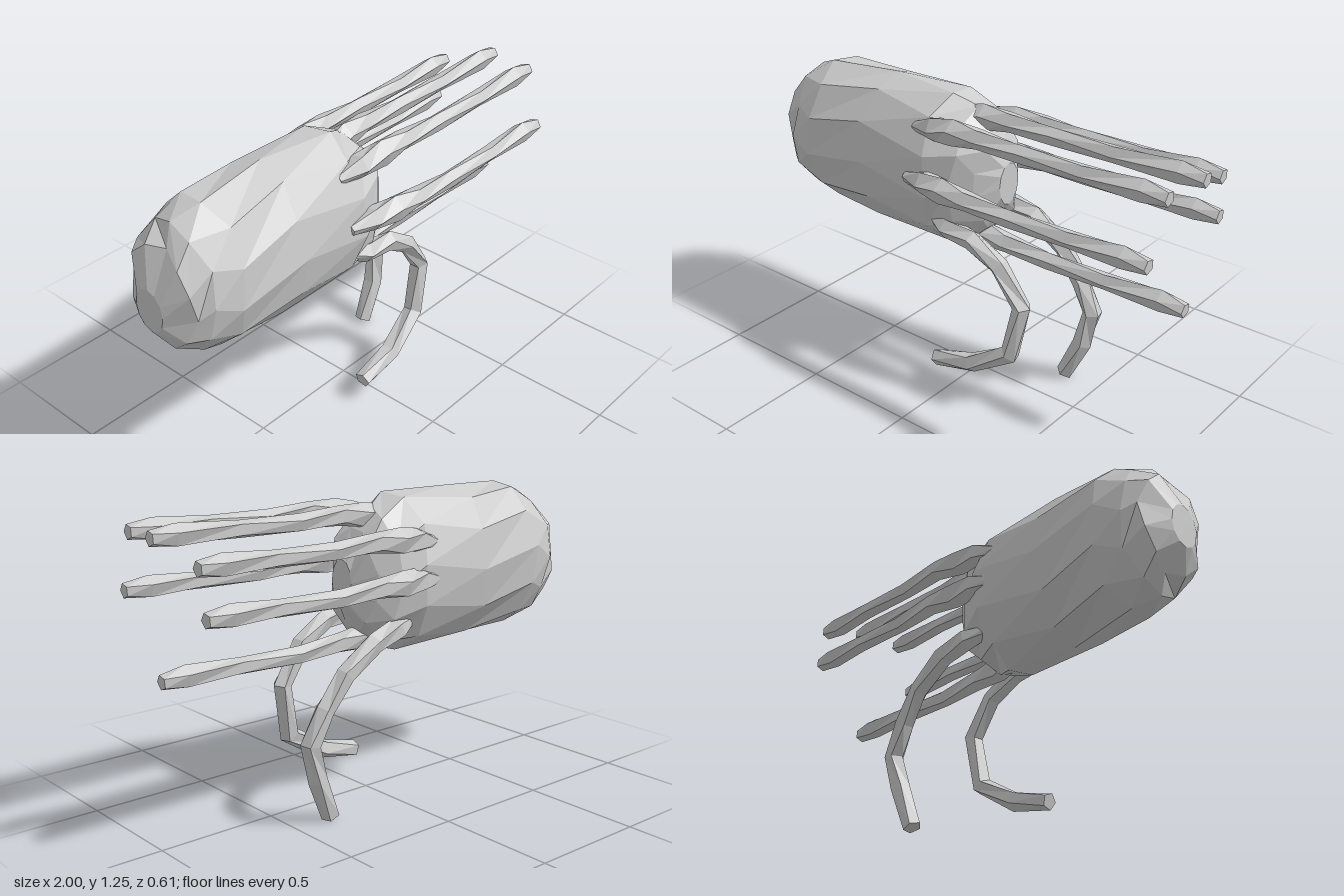
import * as THREE from 'three';

const material = new THREE.MeshStandardMaterial({ color: 0xcccccc, flatShading: true });

// Skin a closed tube over rings of points, with a cap at both ends.
function loft(rings) {
  const sides = rings[0].length, last = rings.length - 1;
  const points = rings.flat(), index = [];
  const centre = (ring) => ring.reduce((s, p) => s.add(p), new THREE.Vector3()).divideScalar(sides);
  const startCap = points.push(centre(rings[0])) - 1;
  const endCap = points.push(centre(rings[last])) - 1;
  for (let j = 0; j < sides; j++) {
    const k = (j + 1) % sides;
    for (let i = 0; i < last; i++) {
      const a = i * sides + j, b = i * sides + k;
      index.push(a, b, a + sides, b, b + sides, a + sides);
    }
    index.push(startCap, k, j, endCap, last * sides + j, last * sides + k);
  }
  const geometry = new THREE.BufferGeometry().setFromPoints(points);
  geometry.setIndex(index);
  geometry.computeVertexNormals();
  return geometry;
}

// Sweep a faceted section along [x, y, z, radius] stations.
function sweep(stations, sides) {
  const path = stations.map(([x, y, z]) => new THREE.Vector3(x, y, z));
  return loft(path.map((p, i) => {
    const t = path[Math.min(i + 1, path.length - 1)].clone().sub(path[Math.max(i - 1, 0)]).normalize();
    const side = new THREE.Vector3(0, 0, 1).addScaledVector(t, -t.z).normalize();
    const normal = side.clone().cross(t);
    return Array.from({ length: sides }, (_, j) => {
      const a = ((j + (i % 2) * 0.3) / sides) * Math.PI * 2;
      return p.clone()
        .addScaledVector(normal, Math.cos(a) * stations[i][3])
        .addScaledVector(side, Math.sin(a) * stations[i][3]);
    });
  }));
}

export function createModel() {
  const group = new THREE.Group();
  const add = (name, geometry) => {
    const mesh = new THREE.Mesh(geometry, material);
    mesh.name = name;
    group.add(mesh);
  };

  // Capsule body: [x, centre y, half height, half depth]
  const bodySides = 12;
  const bodyRings = [
    [-1, 0.89, 0.09, 0.07], [-0.94, 0.92, 0.21, 0.17], [-0.87, 0.925, 0.275, 0.208],
    [-0.75, 0.935, 0.315, 0.238], [-0.45, 0.93, 0.328, 0.24], [-0.12, 0.93, 0.33, 0.24],
    [0, 0.92, 0.29, 0.205], [0.08, 0.92, 0.21, 0.145], [0.14, 0.92, 0.09, 0.06],
  ];
  add('body', loft(bodyRings.map(([x, cy, h, d], i) =>
    Array.from({ length: bodySides }, (_, j) => {
      const a = ((j + (i % 2) * 0.35) / bodySides) * Math.PI * 2;
      const skew = i > 0 && i < 8 ? 0.018 * Math.sin(j * 2.1 + i * 1.7) : 0;
      return new THREE.Vector3(x + skew, cy + h * Math.cos(a), -0.015 + d * Math.sin(a));
    }))));

  // Straight arms trailing along +x: [tip x, y, z]
  const arms = [
    [0.97, 1.18, 0.185], [1, 1.185, -0.015], [0.95, 1.105, -0.235],
    [0.955, 0.95, 0.262], [0.94, 0.93, -0.26], [0.97, 0.66, 0],
  ];
  arms.forEach(([tip, y, z], i) => {
    // Roots lie on the body's skin, pulled slightly towards its axis.
    const at = (x, f, r, dy = 0) => [x, 0.93 + (y - 0.93) * f + dy, -0.015 + (z + 0.015) * f, r];
    add('straightArm' + (i + 1), sweep([
      at(-0.2, 0.84, 0.02, -0.01), at(-0.09, 0.89, 0.05), at(0.02, 0.95, 0.054),
      at(0.14, 0.99, 0.042), at(0.35, 1, 0.036, -0.008), at(0.62, 1, 0.035, -0.004),
      at(tip - 0.1, 1, 0.044, 0.004), at(tip, 1.01, 0.03),
    ], 5));
  });

  // Two long arms hanging below and curling back
  add('curledArmFront', sweep([
    [-0.16, 0.77, 0.13, 0.02], [-0.04, 0.735, 0.155, 0.045], [0.09, 0.725, 0.16, 0.042],
    [0.22, 0.645, 0.15, 0.04], [0.33, 0.49, 0.14, 0.04], [0.285, 0.265, 0.155, 0.042],
    [0.1, 0.155, 0.175, 0.042], [-0.085, 0.112, 0.182, 0.036],
  ], 5));
  add('curledArmBack', sweep([
    [-0.12, 0.76, -0.15, 0.02], [0, 0.735, -0.19, 0.045], [0.13, 0.705, -0.205, 0.043],
    [0.28, 0.6, -0.205, 0.04], [0.38, 0.48, -0.2, 0.04], [0.445, 0.35, -0.195, 0.042],
    [0.41, 0.2, -0.185, 0.042], [0.335, 0.025, -0.175, 0.038],
  ], 5));

  return group;
}
